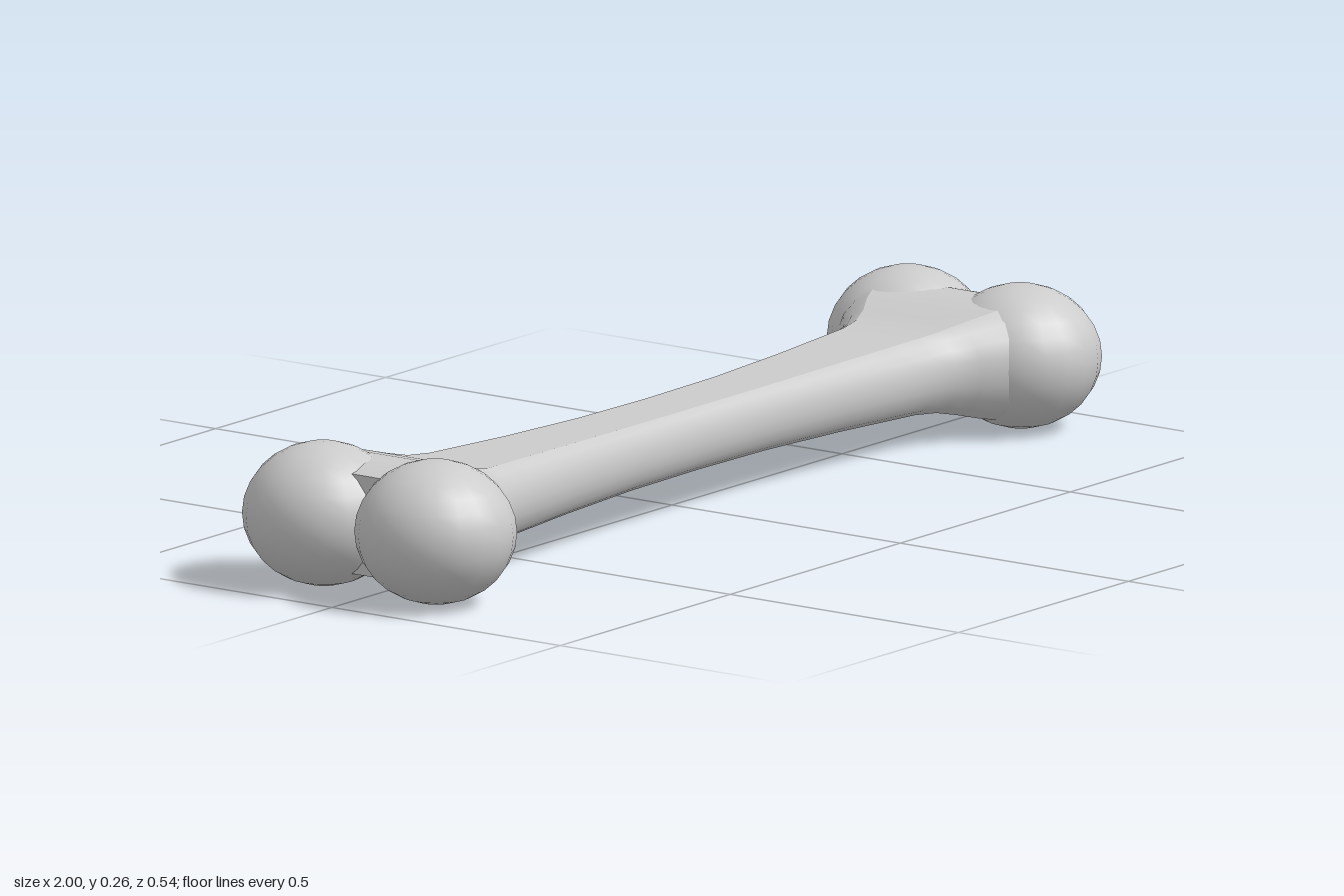
import * as THREE from 'three';

const MID_Y = 0.128;

// half-length stations of the shaft: x, half depth (z), half height (y)
const HALF = [
  [0, 0.085, 0.057], [0.2, 0.088, 0.058], [0.4, 0.1, 0.062], [0.54, 0.113, 0.066],
  [0.61, 0.12, 0.068], [0.66, 0.134, 0.072], [0.7, 0.157, 0.081], [0.74, 0.191, 0.092],
  [0.78, 0.215, 0.1], [0.82, 0.2, 0.102], [0.86, 0.14, 0.101], [0.9, 0.06, 0.09],
];

// unit section [z, y] as four strips: flat top and bottom, rounded sides
const SIDE = [[0.65, 1], [0.81, 0.84], [0.92, 0.6], [0.98, 0.3], [1, 0],
  [0.98, -0.3], [0.92, -0.6], [0.81, -0.84], [0.65, -1]];
const STRIPS = [
  [[0.65, 1], [0, 1], [-0.65, 1]],
  SIDE.map(([z, y]) => [-z, y]),
  [[-0.65, -1], [0, -1], [0.65, -1]],
  [...SIDE].reverse(),
];

// loft the strips through all stations; each strip keeps its own vertices for a crease
function shaftGeometry() {
  const stations = [
    ...HALF.slice(1).reverse().map(([x, w, h]) => [-x, w, h]),
    ...HALF,
  ];
  const pos = [], index = [];
  for (const strip of STRIPS) {
    const base = pos.length / 3, n = strip.length;
    for (const [x, w, h] of stations) {
      for (const [z, y] of strip) pos.push(x, y * h, z * w);
    }
    for (let i = 0; i < stations.length - 1; i++) {
      for (let j = 0; j < n - 1; j++) {
        const a = base + i * n + j, b = a + n;
        index.push(a, b, a + 1, b, b + 1, a + 1);
      }
    }
  }
  // end caps
  const loop = STRIPS.flatMap((s) => s.slice(0, -1));
  for (const end of [0, stations.length - 1]) {
    const [x, w, h] = stations[end];
    const c = pos.length / 3, n = loop.length;
    pos.push(x, 0, 0);
    for (const [z, y] of loop) pos.push(x, y * h, z * w);
    for (let j = 0; j < n; j++) {
      const p = c + 1 + j, q = c + 1 + ((j + 1) % n);
      if (end === 0) index.push(c, p, q);
      else index.push(c, q, p);
    }
  }
  const g = new THREE.BufferGeometry();
  g.setAttribute('position', new THREE.Float32BufferAttribute(pos, 3));
  g.setIndex(index);
  g.computeVertexNormals();
  return g;
}

export function createModel() {
  const group = new THREE.Group();
  group.name = 'bone';
  const material = new THREE.MeshStandardMaterial({ color: 0xcccccc });

  const shaft = new THREE.Mesh(shaftGeometry(), material);
  shaft.name = 'shaft';
  shaft.position.y = MID_Y;
  group.add(shaft);

  // two rounded knobs at each end
  const knobGeometry = new THREE.SphereGeometry(1, 20, 14);
  knobGeometry.scale(0.14, MID_Y, 0.145);
  for (const sx of [1, -1]) {
    for (const sz of [1, -1]) {
      const knob = new THREE.Mesh(knobGeometry, material);
      knob.name = (sx > 0 ? 'left' : 'right') + (sz > 0 ? 'Front' : 'Back') + 'Knob';
      knob.position.set(sx * 0.86, MID_Y, sz * 0.123);
      group.add(knob);
    }
  }
  return group;
}
